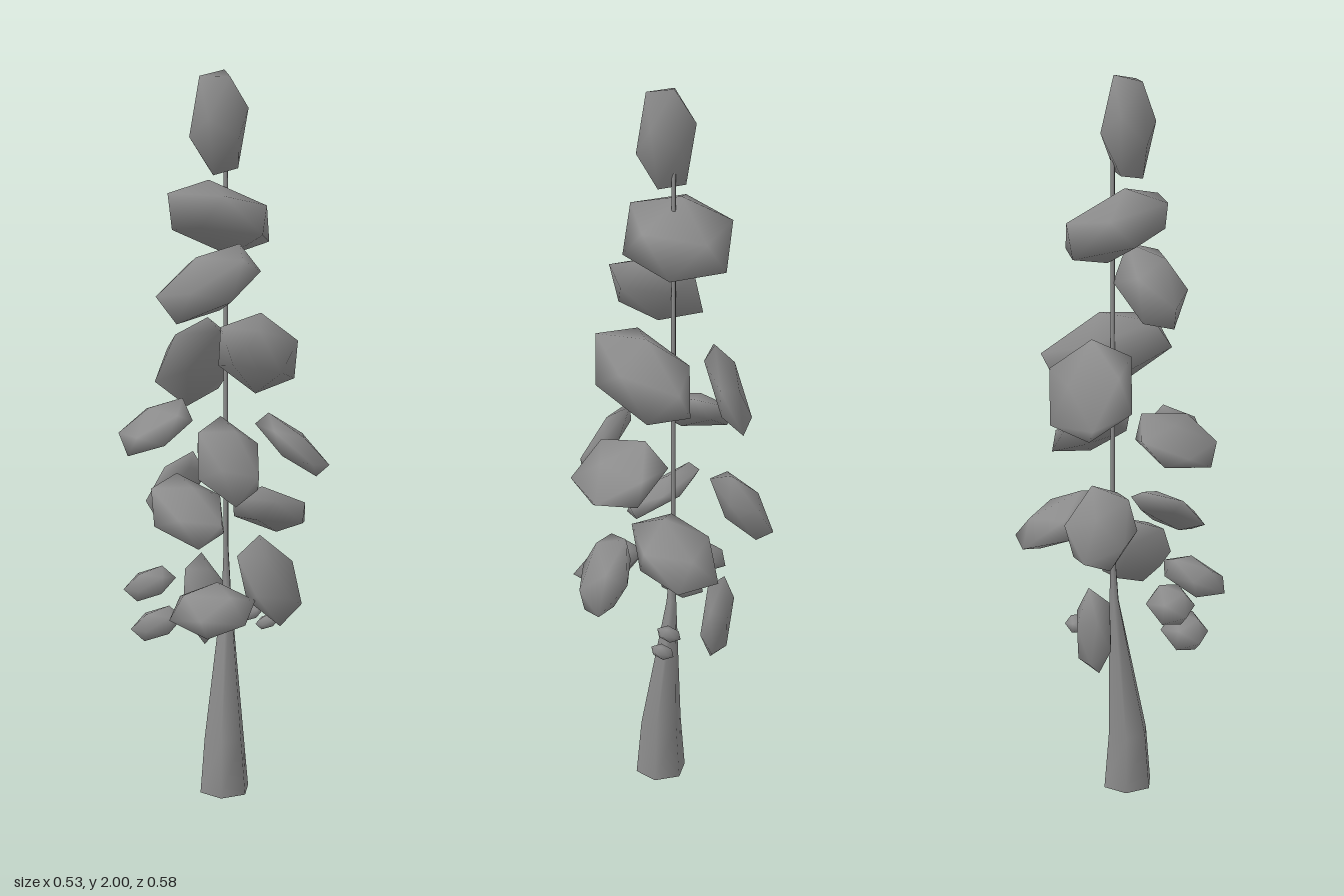
import * as THREE from 'three';
import { mergeVertices } from 'three/addons/utils/BufferGeometryUtils.js';

const grey = new THREE.MeshStandardMaterial({ color: 0x8c8c8c });
grey.name = 'grey';

// Icosahedron with shared vertices, resting on one of its faces
function baseBlob() {
  const g = new THREE.IcosahedronGeometry(1, 0);
  g.deleteAttribute('uv');
  g.deleteAttribute('normal');
  const phi = (1 + Math.sqrt(5)) / 2;
  const a = new THREE.Vector3(phi, -1, -1 / phi).normalize();
  const n = new THREE.Vector3(1, 1, 1).normalize();
  const c = a.clone().cross(n);
  g.applyMatrix4(new THREE.Matrix4().makeBasis(a, n, c).transpose());
  return mergeVertices(g, 1e-4);
}

// Leaf clump: half sizes, a slant in each plane (-1 to 1), and a tilt of the facets
function clump(base, half, { xy = 0, yz = 0, xz = 0, tilt = 0.3 }) {
  const g = base.clone().rotateX(tilt);
  const p = g.attributes.position;
  const b = Math.sqrt(1 - xy * xy);
  const d = (xz - xy * yz) / b;
  const e = Math.sqrt(1 - yz * yz - d * d);
  for (let i = 0; i < p.count; i++) {
    const x = p.getX(i), y = p.getY(i), z = p.getZ(i);
    p.setXYZ(i, xy * y + b * x, y, yz * y + d * x + e * z);
  }
  g.computeBoundingBox();
  const m = g.boundingBox.max;
  g.scale(half[0] / m.x, half[1] / m.y, half[2] / m.z);
  g.computeVertexNormals();
  return g;
}

// Loft through rings of [x, y, z, radius], closed at the bottom
function loft(rings, sides) {
  const pos = [], idx = [];
  for (const [x, y, z, r] of rings)
    for (let i = 0; i < sides; i++) {
      const t = (i / sides) * Math.PI * 2 + Math.PI / 12;
      pos.push(x + r * Math.sin(t), y, z + r * Math.cos(t));
    }
  for (let k = 0; k < rings.length - 1; k++)
    for (let i = 0; i < sides; i++) {
      const a = k * sides + i, b = k * sides + (i + 1) % sides;
      idx.push(a, b, b + sides, a, b + sides, a + sides);
    }
  // separate bottom cap keeps its edge sharp
  const s = pos.length / 3;
  pos.push(...pos.slice(0, sides * 3));
  for (let i = 1; i < sides - 1; i++) idx.push(s, s + i + 1, s + i);
  const g = new THREE.BufferGeometry();
  g.setAttribute('position', new THREE.Float32BufferAttribute(pos, 3));
  g.setIndex(idx);
  g.computeVertexNormals();
  return g;
}

export function createModel() {
  const tree = new THREE.Group();
  tree.name = 'tree';
  const base = baseBlob();

  const add = (name, geometry, x = 0, y = 0, z = 0) => {
    const mesh = new THREE.Mesh(geometry, grey);
    mesh.name = name;
    mesh.position.set(x, y, z);
    tree.add(mesh);
  };
  const leaf = (name, centre, half, slant = {}) =>
    add(name, clump(base, half, slant), ...centre);

  // Flared trunk running up into a thin stem
  add('trunk', loft([
    [-0.002, 0, 0.002, 0.073],
    [-0.003, 0.16, 0.002, 0.059],
    [-0.012, 0.56, -0.038, 0.014],
    [-0.015, 0.7, -0.042, 0.007],
    [-0.015, 1.8, -0.04, 0.006],
  ], 6));

  // Crown and upper clumps
  leaf('crown', [-0.018, 1.865, 0.001], [0.07, 0.135, 0.074], { tilt: 0.1 });
  leaf('upperClump', [-0.032, 1.61, -0.035], [0.142, 0.102, 0.133], { xy: -0.15, yz: 0.45 });
  leaf('upperFrontClump', [-0.025, 1.445, 0.06], [0.135, 0.105, 0.1], { xy: 0.5, yz: -0.15 });
  leaf('upperLeftClump', [0.08, 1.25, -0.038], [0.097, 0.107, 0.182], { yz: 0.35, xz: 0.1, tilt: 0.19 });
  leaf('upperBackClump', [-0.135, 1.195, -0.125], [0.088, 0.13, 0.105], { xy: 0.4, yz: 0.3, xz: -0.6 });

  // Middle clumps
  leaf('middleRightClump', [-0.163, 1.055, 0.1], [0.105, 0.067, 0.11], { xy: 0.4, yz: -0.4, xz: 0.25 });
  leaf('middleFrontClump', [0.075, 0.995, 0.165], [0.085, 0.107, 0.075], { xy: -0.5, yz: -0.5, xz: -0.25 });
  leaf('middleLeftClump', [0.17, 1, -0.065], [0.095, 0.08, 0.11], { xy: -0.7, yz: 0.2, xz: 0.25 });

  // Lower clumps
  leaf('lowerRightClump', [-0.195, 0.835, -0.11], [0.072, 0.105, 0.097], { xy: 0.6, yz: 0.2 });
  leaf('lowerFrontClump', [-0.07, 0.83, 0.1], [0.105, 0.08, 0.09], { xy: -0.6, yz: -0.6 });
  leaf('lowerBackClump', [0.063, 0.78, -0.173], [0.103, 0.08, 0.117], { yz: 0.7 });
  leaf('lowerLeftClump', [0.15, 0.645, 0.05], [0.07, 0.113, 0.112], { xy: -0.6, xz: -0.2 });
  leaf('bottomFrontClump', [0.045, 0.592, 0.203], [0.105, 0.06, 0.085], { xy: -0.1, yz: -0.4, xz: -0.2 });
  leaf('bottomBackClump', [-0.115, 0.515, -0.115], [0.055, 0.13, 0.047], { xy: -0.2, xz: -0.4 });

  // Small sprigs, all of one shape: x, y, z, radius
  [
    [-0.193, 0.605, 0.08, 0.067],
    [-0.15, 0.51, 0.13, 0.066],
    [0.035, 0.495, -0.1, 0.033],
    [0.075, 0.465, -0.13, 0.031],
  ].forEach(([x, y, z, r], i) =>
    leaf(`sprig${i + 1}`, [x, y, z], [r, r * 0.72, r], { xy: 0.4 }));

  return tree;
}
